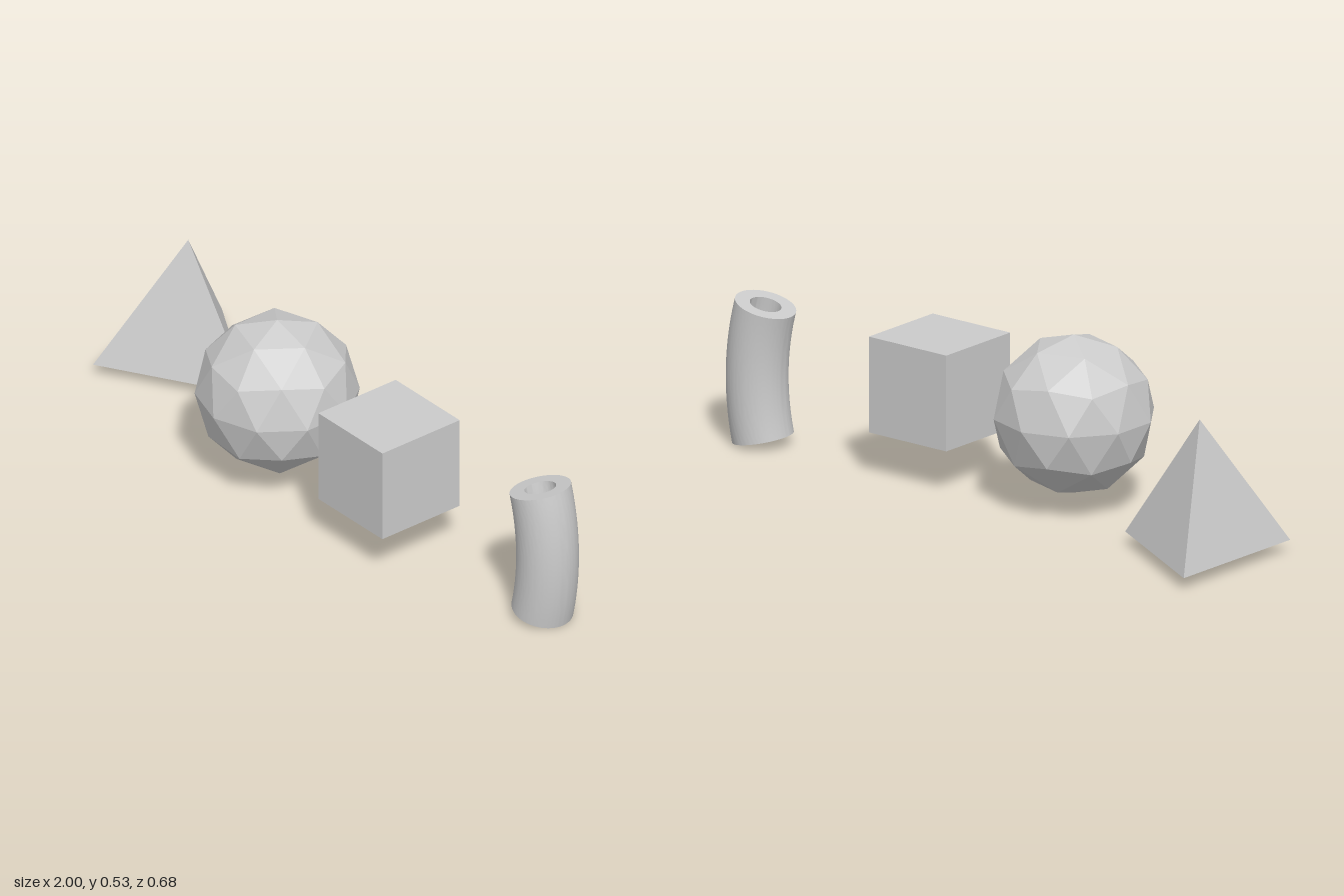
import * as THREE from 'three';
import { toCreasedNormals } from 'three/addons/utils/BufferGeometryUtils.js';

const grey = new THREE.MeshStandardMaterial({ color: 0xcccccc });
const facetedGrey = new THREE.MeshStandardMaterial({ color: 0xcccccc, flatShading: true });

export function createModel() {
  const group = new THREE.Group();
  const add = (name, geometry, material, x = 0, y = 0, z = 0) => {
    const mesh = new THREE.Mesh(geometry, material);
    mesh.name = name;
    mesh.position.set(x, y, z);
    group.add(mesh);
  };

  // Regular tetrahedron: a three-sided cone with one base corner towards +x
  const edge = 0.495;
  const height = edge * Math.sqrt(2 / 3);
  const tetra = new THREE.ConeGeometry(edge / Math.sqrt(3), height, 3, 1, false, Math.PI / 2);
  add('tetrahedron', tetra, facetedGrey, -0.857, 0.037 + height / 2, -0.09);

  // Faceted ball, turned so that a five-fold corner points straight up
  const ball = new THREE.IcosahedronGeometry(0.245, 1);
  ball.rotateZ(-Math.atan(2 / (1 + Math.sqrt(5))));
  add('facetedBall', ball, facetedGrey, -0.222, 0.289, 0.094);

  // Cube
  add('cube', new THREE.BoxGeometry(0.297, 0.297, 0.297), grey, 0.286, 0.286, 0.085);

  // Bent pipe: a ring swept along a gentle curve bulging towards +x
  const ring = new THREE.Shape().absarc(0, 0, 0.093, 0, Math.PI * 2, false);
  ring.holes.push(new THREE.Path().absarc(0, 0, 0.048, 0, Math.PI * 2, true));
  const path = new THREE.QuadraticBezierCurve3(
    new THREE.Vector3(0.888, 0.019, -0.006),
    new THREE.Vector3(0.931, 0.227, -0.0135),
    new THREE.Vector3(0.878, 0.432, -0.006)
  );
  const pipe = new THREE.ExtrudeGeometry(ring, {
    extrudePath: path, steps: 20, curveSegments: 48, bevelEnabled: false
  });
  add('bentPipe', toCreasedNormals(pipe, Math.PI / 5), grey);

  return group;
}
